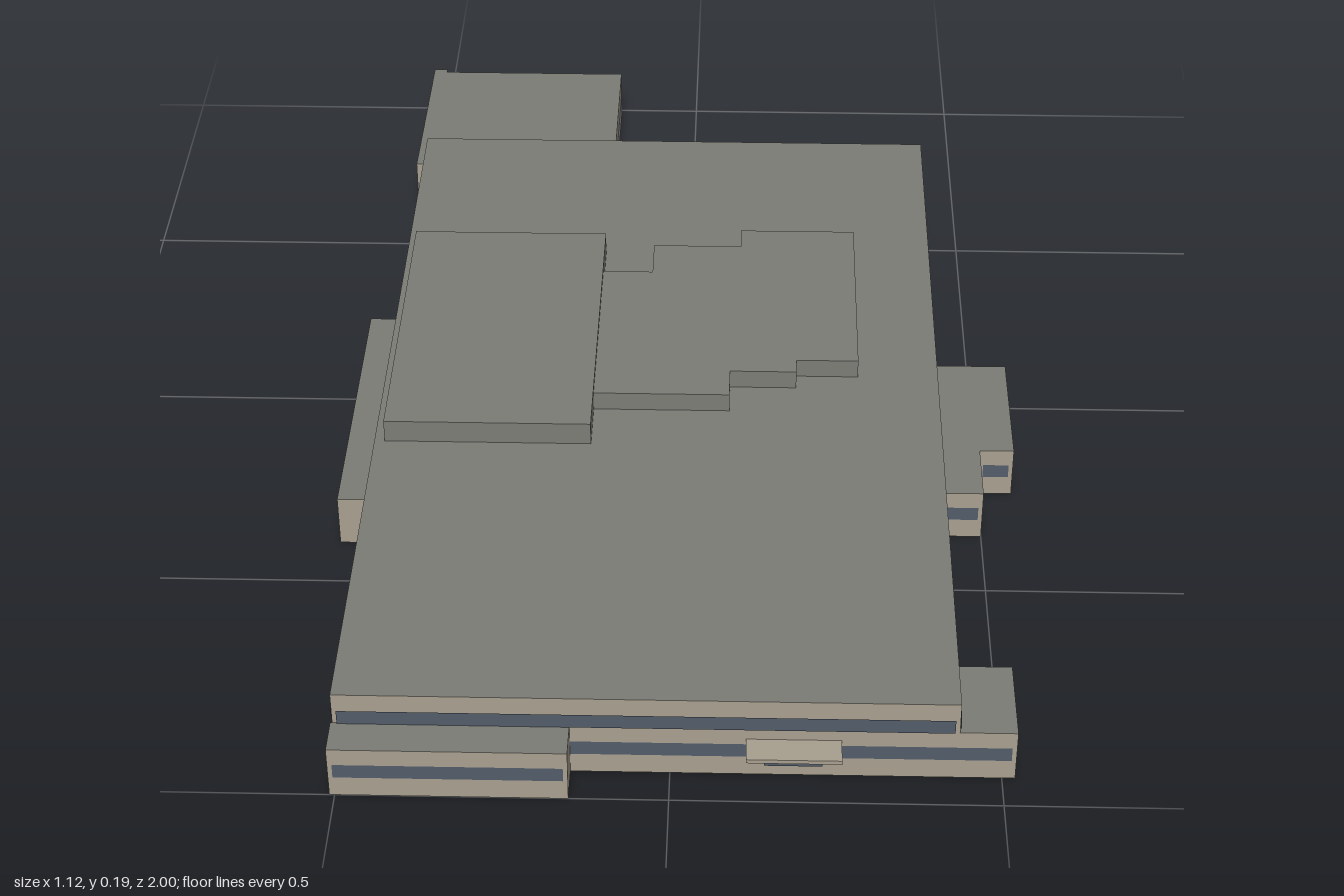
import * as THREE from 'three';
import { mergeGeometries } from 'three/addons/utils/BufferGeometryUtils.js';

export function createModel() {
  const model = new THREE.Group();
  const mat = (name, color) => new THREE.MeshStandardMaterial({ name, color, side: THREE.DoubleSide });
  const wallMat = mat('beige wall', 0xa8a090);
  const glassMat = mat('blue grey glass', 0x535d6b);
  const roofMat = mat('grey roof', 0x7d7d77);

  const LOW = 0.09, HIGH = 0.145, BAND = [0.035, 0.06], GAP = 0.007;

  const add = (name, geometry, material) => {
    const mesh = new THREE.Mesh(geometry, material);
    mesh.name = name;
    model.add(mesh);
    return mesh;
  };

  // Upright panel on the line a-b, from s0 to s1 along it, facing outward
  function panel(a, b, s0, s1, y0, y1, out = 0) {
    const dx = b[0] - a[0], dz = b[1] - a[1], len = Math.hypot(dx, dz);
    const g = new THREE.PlaneGeometry(s1 - s0, y1 - y0);
    g.translate((s0 + s1) / 2, (y0 + y1) / 2, out);
    g.rotateY(-Math.atan2(dz, dx));
    return g.translate(a[0], 0, a[1]);
  }

  // Walls along a line of points [x, z, style]; style 'plain' leaves out the
  // window band, 'toEnd' / 'fromStart' run the band right up to that corner
  function walls(name, pts, top) {
    const solid = [], glass = [];
    for (let i = 0; i < pts.length - 1; i++) {
      const a = pts[i], b = pts[i + 1], style = a[2];
      const len = Math.hypot(b[0] - a[0], b[1] - a[1]);
      if (style === 'plain') {
        solid.push(panel(a, b, 0, len, 0, top));
        continue;
      }
      const s0 = style === 'fromStart' ? 0 : GAP;
      const s1 = style === 'toEnd' ? len : len - GAP;
      solid.push(panel(a, b, 0, len, 0, BAND[0]), panel(a, b, 0, len, BAND[1], top));
      if (s0 > 0) solid.push(panel(a, b, 0, s0, BAND[0], BAND[1]));
      if (s1 < len) solid.push(panel(a, b, s1, len, BAND[0], BAND[1]));
      glass.push(panel(a, b, s0, s1, BAND[0], BAND[1]));
    }
    add(name + 'Walls', mergeGeometries(solid), wallMat);
    if (glass.length) add(name + 'Windows', mergeGeometries(glass), glassMat);
  }

  // Plan points [x, z] to a shape; laid flat, shape y becomes -z
  const plan = pts => new THREE.Shape(pts.map(p => new THREE.Vector2(p[0], -p[1])));

  function roof(name, pts, y) {
    add(name + 'Roof', new THREE.ShapeGeometry(plan(pts)).rotateX(-Math.PI / 2).translate(0, y, 0), roofMat);
  }

  function roofBlock(name, pts, height) {
    const g = new THREE.ExtrudeGeometry(plan(pts), { depth: height, bevelEnabled: false });
    add(name, g.rotateX(-Math.PI / 2).translate(0, HIGH, 0), roofMat);
  }

  // Two storey main hall, open underneath
  const main = [[-0.505, 0.94, 'toEnd'], [0.433, 0.94], [0.433, -0.645], [-0.505, -0.645], [-0.505, 0.94]];
  walls('mainHall', main, HIGH);
  roof('mainHall', main.slice(0, 4), HIGH);

  // Upper window bands as thin plates on the outside
  const upper = [];
  for (let i = 0; i < 4; i++) {
    const a = main[i], b = main[i + 1];
    const len = Math.hypot(b[0] - a[0], b[1] - a[1]);
    upper.push(panel(a, b, GAP, len - GAP, 0.09, 0.115, 0.002));
  }
  add('upperWindows', mergeGeometries(upper), glassMat);

  // Single storey wings around the hall
  const wings = {
    frontBay: [[-0.508, 0.94, 'plain'], [-0.508, 1], [-0.15, 1, 'plain'], [-0.15, 0.94]],
    frontCornerWing: [[0.433, 0.94, 'fromStart'], [0.52, 0.94], [0.52, 0.79], [0.433, 0.79]],
    leftWing: [[0.433, 0.36], [0.5, 0.36], [0.5, 0.243], [0.557, 0.243], [0.557, 0], [0.433, 0]],
    rightBay: [[-0.505, -0.12, 'plain'], [-0.56, -0.12], [-0.56, 0.4, 'plain'], [-0.505, 0.4]],
    backWing: [[-0.15, -0.645], [-0.15, -0.99], [-0.5, -0.99, 'plain'], [-0.5, -1, 'plain'],
      [-0.525, -1], [-0.528, -0.64, 'plain'], [-0.505, -0.64]],
  };
  for (const [name, pts] of Object.entries(wings)) {
    walls(name, pts, LOW);
    roof(name, pts, LOW);
  }

  // Raised plant rooms on the main roof
  roofBlock('largeRoofBlock', [[-0.488, 0.312], [-0.147, 0.312], [-0.147, -0.26], [-0.488, -0.26]], 0.04);
  roofBlock('steppedRoofBlock', [
    [-0.147, 0.215], [0.08, 0.215], [0.08, 0.147], [0.192, 0.147], [0.192, 0.113], [0.297, 0.113],
    [0.297, -0.287], [0.095, -0.287], [0.095, -0.235], [-0.06, -0.235], [-0.06, -0.15], [-0.147, -0.15],
  ], 0.033);

  // Entrance with a flat canopy
  add('entranceDoor', new THREE.BoxGeometry(0.088, 0.042, 0.004).translate(0.186, 0.041, 0.941), glassMat);
  add('entranceCanopy', new THREE.BoxGeometry(0.143, 0.007, 0.045).translate(0.186, 0.067, 0.9625), wallMat);

  return model;
}
